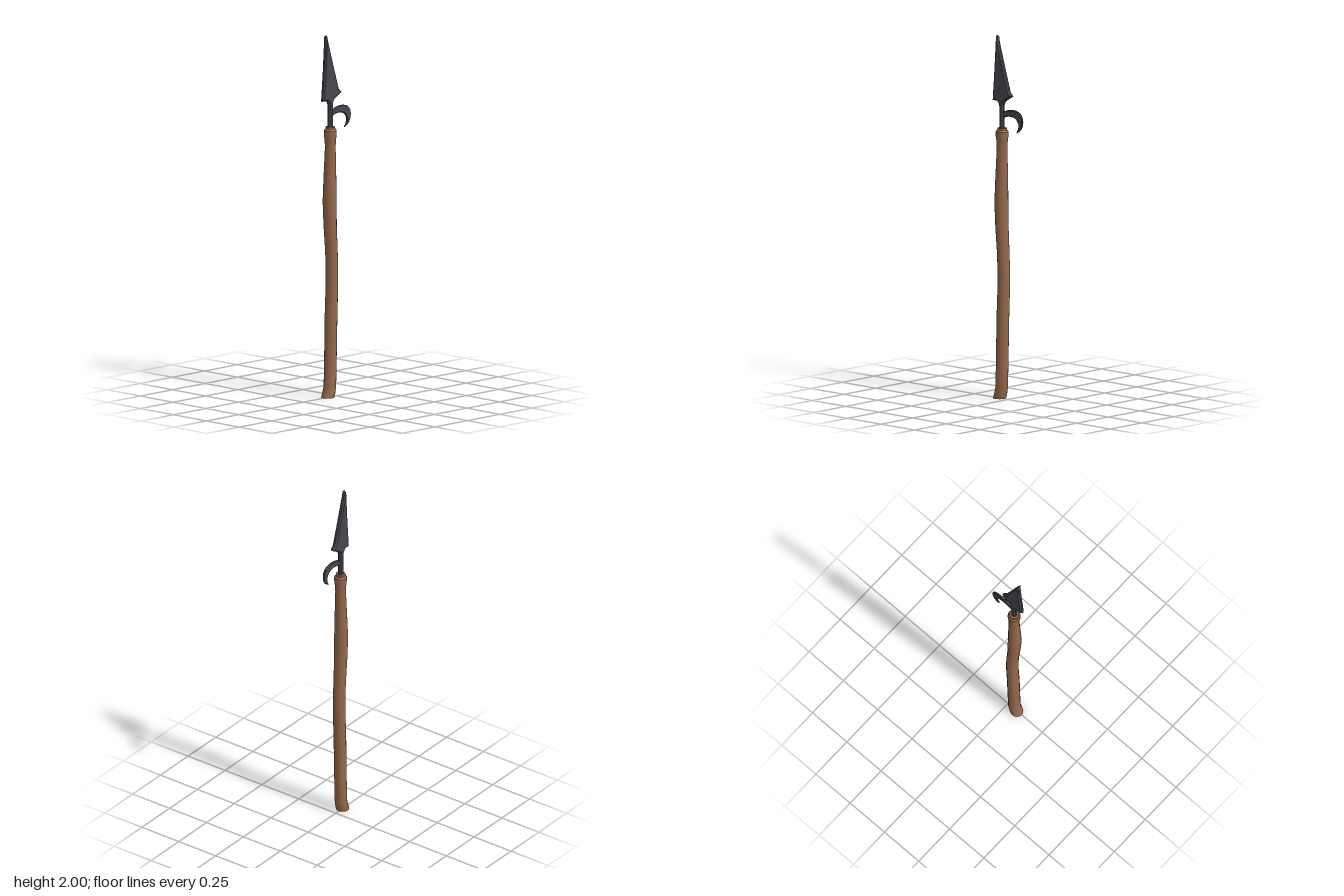
import * as THREE from 'three';
import { toCreasedNormals } from 'three/addons/utils/BufferGeometryUtils.js';

const wood = new THREE.MeshStandardMaterial({ name: 'wood', color: 0x94694c });
const iron = new THREE.MeshStandardMaterial({ name: 'darkIron', color: 0x474750 });

// Round column following rings of [y, centre z, half width x, half depth z]
function ringColumn(rings, sides) {
  const n = rings.length - 1;
  const geo = new THREE.CylinderGeometry(1, 1, 1, sides, n);
  const p = geo.attributes.position;
  for (let i = 0; i < p.count; i++) {
    const [y, cz, rx, rz] = rings[Math.round((p.getY(i) + 0.5) * n)];
    p.setXYZ(i, p.getX(i) * rx, y, cz + p.getZ(i) * rz);
  }
  return toCreasedNormals(geo, 0.6);
}

// Bevelled plate lying in the yz plane, centred on x = 0; shape x becomes z
function plate(shape, halfThickness, bevel) {
  const flat = halfThickness * 0.4;
  const thickness = halfThickness - flat;
  const geo = new THREE.ExtrudeGeometry(shape, {
    depth: flat * 2, bevelEnabled: true, bevelThickness: thickness,
    bevelSize: bevel, bevelOffset: -bevel, bevelSegments: 1, curveSegments: 7,
  });
  geo.translate(0, 0, -flat);
  geo.rotateY(-Math.PI / 2);
  return toCreasedNormals(geo, 0.4);
}

export function createModel() {
  const model = new THREE.Group();
  model.name = 'polearm';
  const add = (name, geo, material) => {
    const mesh = new THREE.Mesh(geo, material);
    mesh.name = name;
    model.add(mesh);
  };

  // Gently bent shaft with a flared foot and a lipped top
  add('shaft', ringColumn([
    [0, 0.063, 0.035, 0.037],
    [0.025, 0.055, 0.035, 0.036],
    [0.06, 0.047, 0.034, 0.034],
    [0.2, 0.043, 0.034, 0.034],
    [0.45, 0.038, 0.035, 0.034],
    [0.6, 0.032, 0.035, 0.033],
    [0.7, 0.031, 0.035, 0.033],
    [0.8, 0.035, 0.035, 0.033],
    [0.95, 0.045, 0.037, 0.035],
    [1.08, 0.049, 0.039, 0.037],
    [1.2, 0.047, 0.036, 0.034],
    [1.38, 0.044, 0.029, 0.029],
    [1.42, 0.044, 0.031, 0.031],
    [1.45, 0.044, 0.035, 0.035],
    [1.472, 0.044, 0.035, 0.035],
    [1.482, 0.044, 0.028, 0.028],
  ], 16), wood);

  // Small raised collar around the socket
  add('collar', ringColumn([
    [1.478, 0.044, 0.026, 0.026],
    [1.492, 0.044, 0.026, 0.026],
  ], 16), wood);

  // Spearhead and its neck
  const blade = new THREE.Shape();
  blade.moveTo(0.079, 2.0);
  blade.lineTo(0.096, 1.81);
  blade.lineTo(0.109, 1.638);
  blade.lineTo(0.078, 1.638);
  blade.quadraticCurveTo(0.059, 1.63, 0.059, 1.595);
  blade.lineTo(0.059, 1.48);
  blade.lineTo(0.03, 1.48);
  blade.lineTo(0.03, 1.61);
  blade.quadraticCurveTo(0.028, 1.638, 0.005, 1.65);
  blade.lineTo(-0.036, 1.674);
  blade.lineTo(-0.016, 1.695);
  blade.lineTo(0.02, 1.81);
  blade.lineTo(0.068, 1.972);
  blade.closePath();
  add('blade', plate(blade, 0.013, 0.008), iron);

  // Curved back hook growing out of the neck
  const hook = new THREE.Shape();
  hook.moveTo(0.045, 1.585);
  hook.lineTo(0.03, 1.583);
  hook.quadraticCurveTo(-0.01, 1.603, -0.045, 1.6);
  hook.bezierCurveTo(-0.09, 1.597, -0.112, 1.578, -0.112, 1.54);
  hook.quadraticCurveTo(-0.108, 1.49, -0.064, 1.476);
  hook.quadraticCurveTo(-0.088, 1.51, -0.078, 1.53);
  hook.bezierCurveTo(-0.066, 1.562, -0.02, 1.572, 0.03, 1.55);
  hook.lineTo(0.045, 1.55);
  hook.closePath();
  add('hook', plate(hook, 0.0065, 0.004), iron);

  return model;
}
